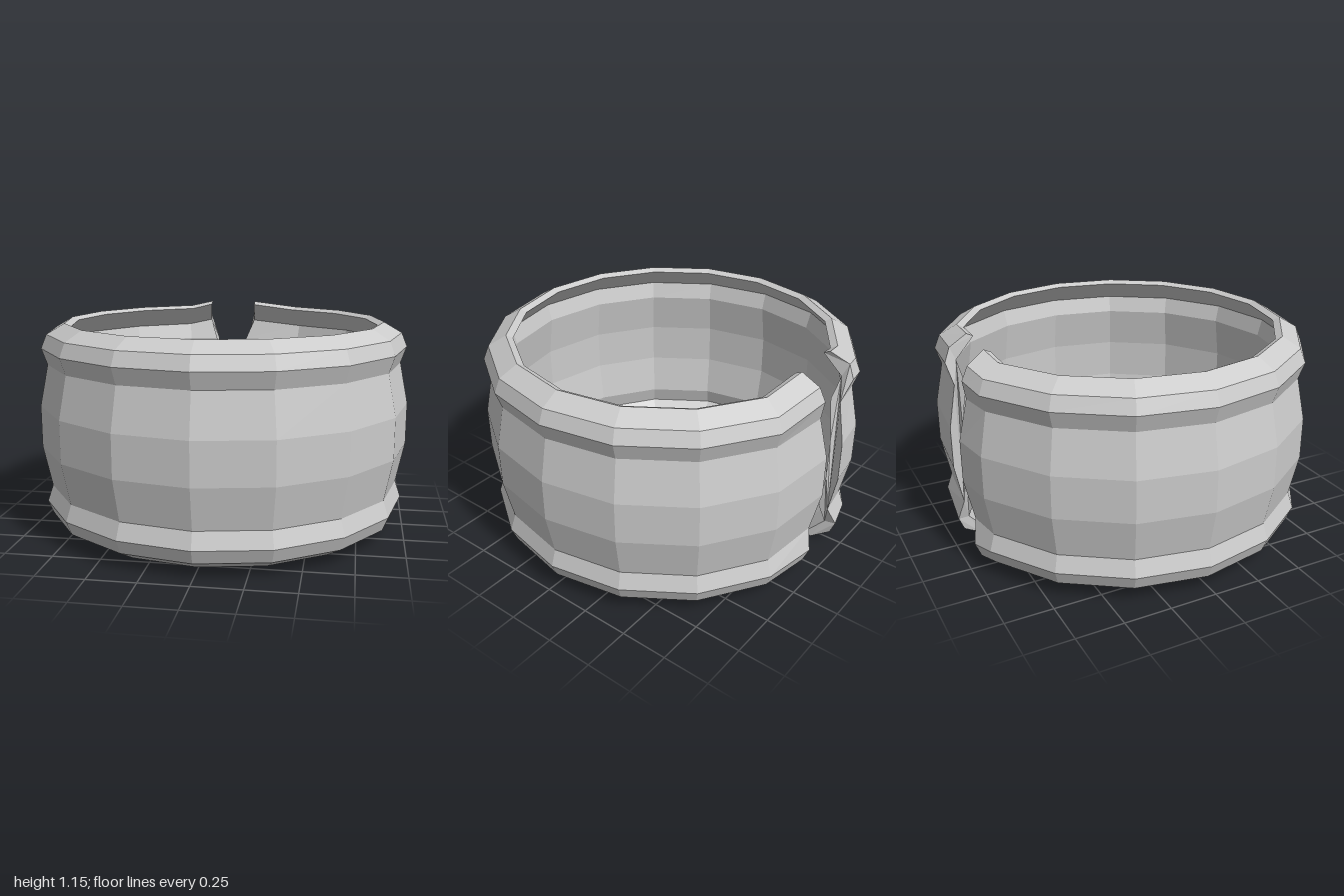
import * as THREE from 'three';

const MID_Y = 0.577, CENTRE_Z = -0.02, STEP = Math.PI / 8;

// Upper half of the band's cross-section, outside to inside:
// [height above the middle, radius, x of the left end, x of the right end]
const HALF = [
  [0.11, 1.0, 0.0, -0.16],
  [0.33, 0.955, 0.02, -0.175],
  [0.417, 0.985, 0.05, -0.23],
  [0.49, 0.955, 0.06, -0.235],
  [0.545, 0.86, 0.07, -0.2],
  [0.528, 0.825, 0.07, -0.2],
  [0.42, 0.925, 0.06, -0.22],
  [0.33, 0.9, 0.01, -0.18],
  [0.11, 0.935, 0.0, -0.155],
];

// Closed section: up the outside, down the inside, then the mirrored lower half
const SECTION = [
  ...HALF,
  ...HALF.map(([dy, ...rest]) => [-dy, ...rest]).reverse(),
];

// One ring of points; stations -8 and 8 are the cut ends with flared rims
function station(i) {
  return SECTION.map(([dy, r, xLeft, xRight]) => {
    if (Math.abs(i) === 8) {
      const flare = Math.abs(dy) > 0.4 ? 0.028 * Math.sign(dy) : 0;
      return [i > 0 ? xLeft : xRight, MID_Y + dy + flare, CENTRE_Z - (r - 0.04)];
    }
    const a = i * STEP;
    return [r * Math.sin(a), MID_Y + dy, CENTRE_Z + r * Math.cos(a)];
  });
}

function bandGeometry() {
  const rings = [];
  for (let i = -8; i <= 8; i++) rings.push(station(i));
  const positions = [];
  const tri = (a, b, c) => positions.push(...a, ...b, ...c);
  const n = SECTION.length;

  // Surface between neighbouring stations
  for (let i = 0; i < rings.length - 1; i++) {
    for (let j = 0; j < n; j++) {
      const k = (j + 1) % n;
      const a = rings[i][j], b = rings[i + 1][j], c = rings[i + 1][k], d = rings[i][k];
      tri(a, b, c);
      tri(a, c, d);
    }
  }

  // Caps on the two cut ends
  const outline = SECTION.map(([dy, r]) => new THREE.Vector2(r, dy));
  const first = rings[0], last = rings[rings.length - 1];
  for (const [a, b, c] of THREE.ShapeUtils.triangulateShape(outline, [])) {
    tri(first[a], first[b], first[c]);
    tri(last[a], last[c], last[b]);
  }

  const geometry = new THREE.BufferGeometry();
  geometry.setAttribute('position', new THREE.Float32BufferAttribute(positions, 3));
  geometry.computeVertexNormals();
  return geometry;
}

export function createModel() {
  const group = new THREE.Group();
  group.name = 'openCuff';
  const material = new THREE.MeshStandardMaterial({ color: 0xcccccc, flatShading: true });
  const band = new THREE.Mesh(bandGeometry(), material);
  band.name = 'cuffBand';
  group.add(band);
  return group;
}
